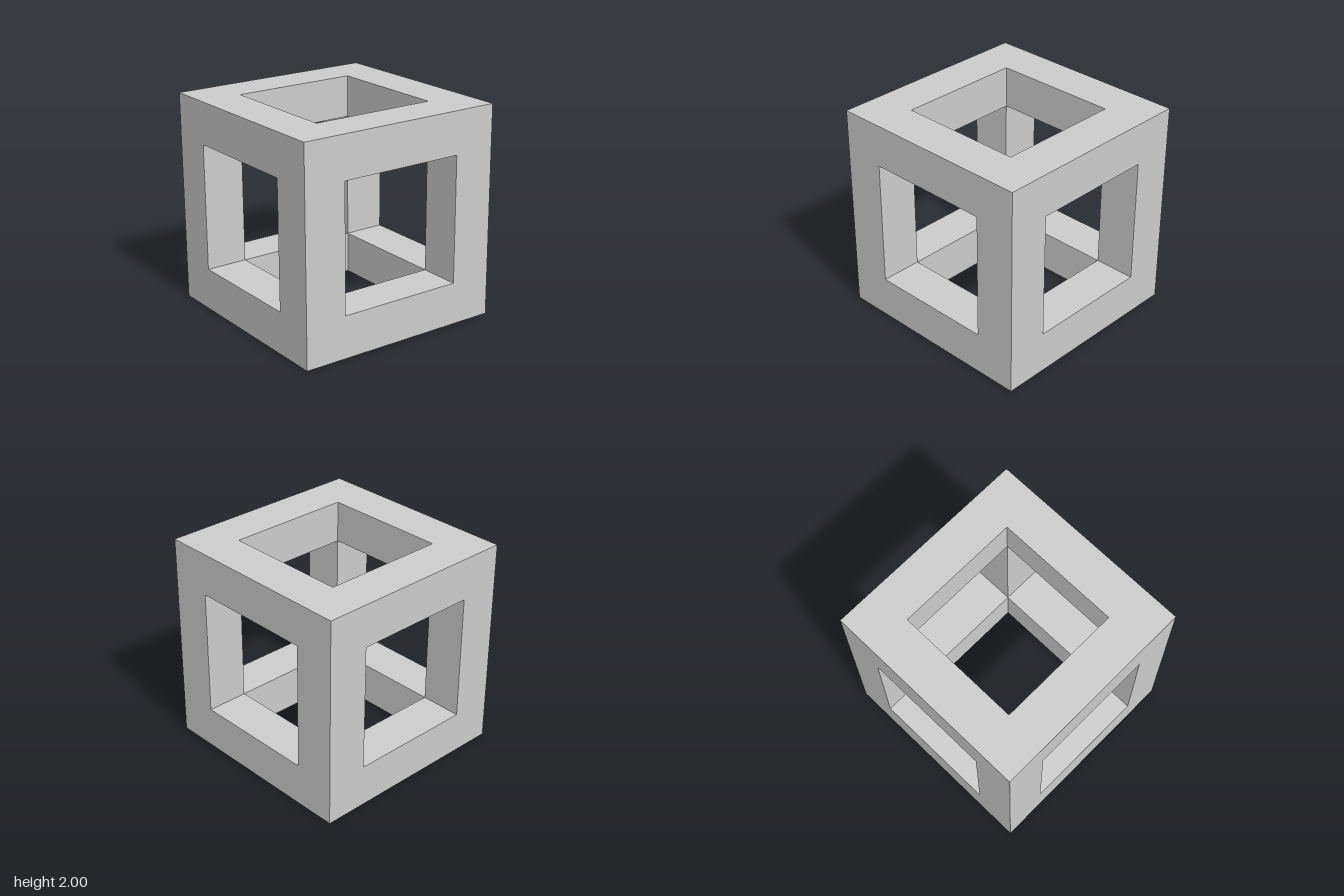
import * as THREE from 'three';
import { mergeGeometries } from 'three/addons/utils/BufferGeometryUtils.js';

const SIZE = 1.98;
const OUTER = SIZE / 2;
const INNER = OUTER * 0.6;
const BAR = OUTER - INNER;

function square(path, half) {
  path.moveTo(-half, -half);
  path.lineTo(half, -half);
  path.lineTo(half, half);
  path.lineTo(-half, half);
  path.closePath();
  return path;
}

// One side of the frame, facing +z: outer square ring and the inward faces of its four bars
function sideGeometry() {
  const ring = square(new THREE.Shape(), OUTER);
  ring.holes.push(square(new THREE.Path(), INNER));
  const parts = [new THREE.ShapeGeometry(ring).translate(0, 0, OUTER)];
  for (let i = 0; i < 4; i++) {
    parts.push(
      new THREE.PlaneGeometry(INNER * 2, BAR)
        .rotateY(Math.PI)
        .translate(0, INNER + BAR / 2, INNER)
        .rotateZ((i * Math.PI) / 2)
    );
  }
  return mergeGeometries(parts);
}

export function createModel() {
  const material = new THREE.MeshStandardMaterial({ color: 0xcccccc, flatShading: true });
  const geometry = sideGeometry();
  const frame = new THREE.Group();
  frame.name = 'cubeFrame';

  // Six sides close up into a hollow cube made of square bars
  const q = Math.PI / 2;
  const sides = [
    ['frontSide', 0, 0],
    ['leftSide', 0, q],
    ['backSide', 0, 2 * q],
    ['rightSide', 0, -q],
    ['topSide', -q, 0],
    ['bottomSide', q, 0],
  ];
  for (const [name, rx, ry] of sides) {
    const side = new THREE.Mesh(geometry, material);
    side.name = name;
    side.rotation.set(rx, ry, 0);
    frame.add(side);
  }

  // The cube sits very slightly askew
  frame.rotation.set(-0.008, -0.004, 0.002);
  frame.position.y = 1;

  const model = new THREE.Group();
  model.name = 'openCube';
  model.add(frame);
  return model;
}
